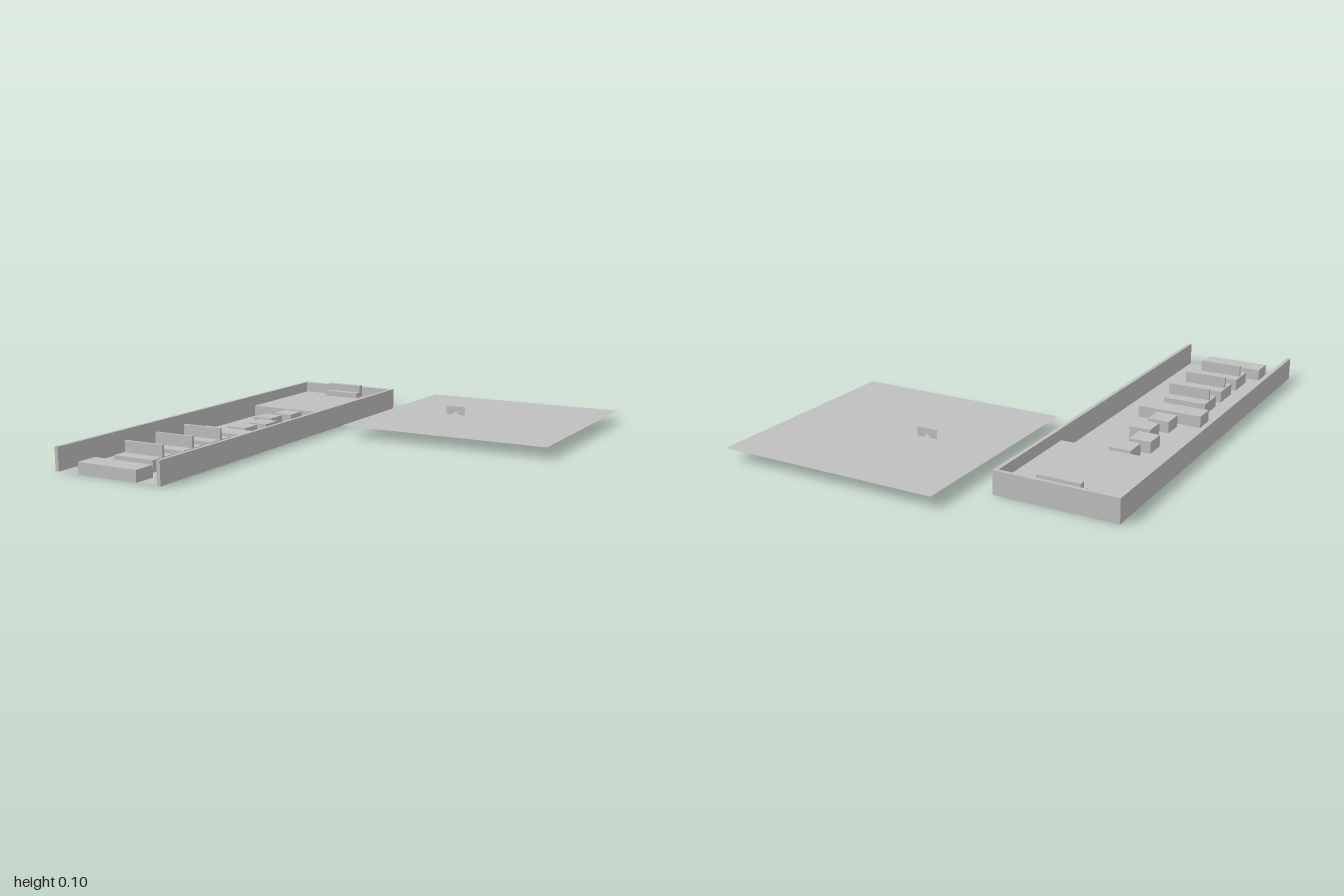
import * as THREE from 'three';

export function createModel() {
  const root = new THREE.Group();
  const grey = new THREE.MeshStandardMaterial({ color: 0xbfbfbf });
  grey.name = 'plainGrey';
  const greySheet = new THREE.MeshStandardMaterial({ color: 0xbfbfbf, side: THREE.DoubleSide });
  greySheet.name = 'plainGreySheet';

  // Box given by its limits on each axis
  const box = (name, x0, x1, y0, y1, z0, z1, parent = root) => {
    const mesh = new THREE.Mesh(new THREE.BoxGeometry(x1 - x0, y1 - y0, z1 - z0), grey);
    mesh.position.set((x0 + x1) / 2, (y0 + y1) / 2, (z0 + z1) / 2);
    mesh.name = name;
    parent.add(mesh);
    return mesh;
  };
  // Flat horizontal sheet
  const sheet = (name, x0, x1, y, z0, z1) => {
    const mesh = new THREE.Mesh(new THREE.PlaneGeometry(x1 - x0, z1 - z0).rotateX(-Math.PI / 2), greySheet);
    mesh.position.set((x0 + x1) / 2, y, (z0 + z1) / 2);
    mesh.name = name;
    root.add(mesh);
  };

  const left = -0.772, right = -0.276, wall = 0.016, wallTop = 0.095, deck = 0.048;

  // Long corridor, open at the front
  sheet('corridorFloor', left, right, 0, -0.79, 1);
  box('sideWallRight', left, left + wall, 0, wallTop, -0.79, 1);
  box('sideWallLeft', right - wall, right, 0, wallTop, -0.79, 1);
  box('backWall', left + wall, right - wall, 0, wallTop, -0.79, -0.774);

  // Raised floor at the far end, and the two wide landings
  box('endPlatform', left + wall, right - wall, 0, deck, -0.774, -0.308);
  box('startLanding', -0.66, -0.386, 0, deck, 0.905, 1);
  box('middleLanding', -0.66, -0.386, 0, deck, 0.2, 0.29);

  // Three blocks, each with a thin upright hurdle
  for (const z of [0.35, 0.535, 0.72]) {
    const group = new THREE.Group();
    group.name = 'hurdleBlock';
    box('block', -0.62, -0.434, 0, deck, z, z + 0.125, group);
    box('hurdle', -0.614, -0.434, deck, wallTop, z + 0.055, z + 0.067, group);
    root.add(group);
  }

  // Staggered stepping blocks: centre x, centre z
  for (const [x, z] of [[-0.527, 0.125], [-0.5, 0.005], [-0.555, -0.115], [-0.527, -0.235]]) {
    box('steppingBlock', x - 0.045, x + 0.045, 0, deck, z - 0.045, z + 0.045);
  }

  // Bench against the back wall
  const bench = new THREE.Group();
  bench.name = 'bench';
  box('seat', -0.614, -0.438, deck, 0.072, -0.743, -0.715, bench);
  box('backrest', -0.612, -0.438, deck, 0.105, -0.768, -0.743, bench);
  root.add(bench);

  // Separate floor sheet with a small notched panel standing on it
  sheet('floorSheet', -0.155, 0.772, deck, -1, -0.08);
  const outline = new THREE.Shape([
    [0.124, 0.05], [0.154, 0.05], [0.169, 0.067], [0.184, 0.05], [0.214, 0.05], [0.214, 0.088], [0.124, 0.088],
  ].map(([x, y]) => new THREE.Vector2(x, y)));
  const panel = new THREE.Mesh(new THREE.ShapeGeometry(outline), greySheet);
  panel.position.z = -0.54;
  panel.name = 'notchedPanel';
  root.add(panel);

  return root;
}
